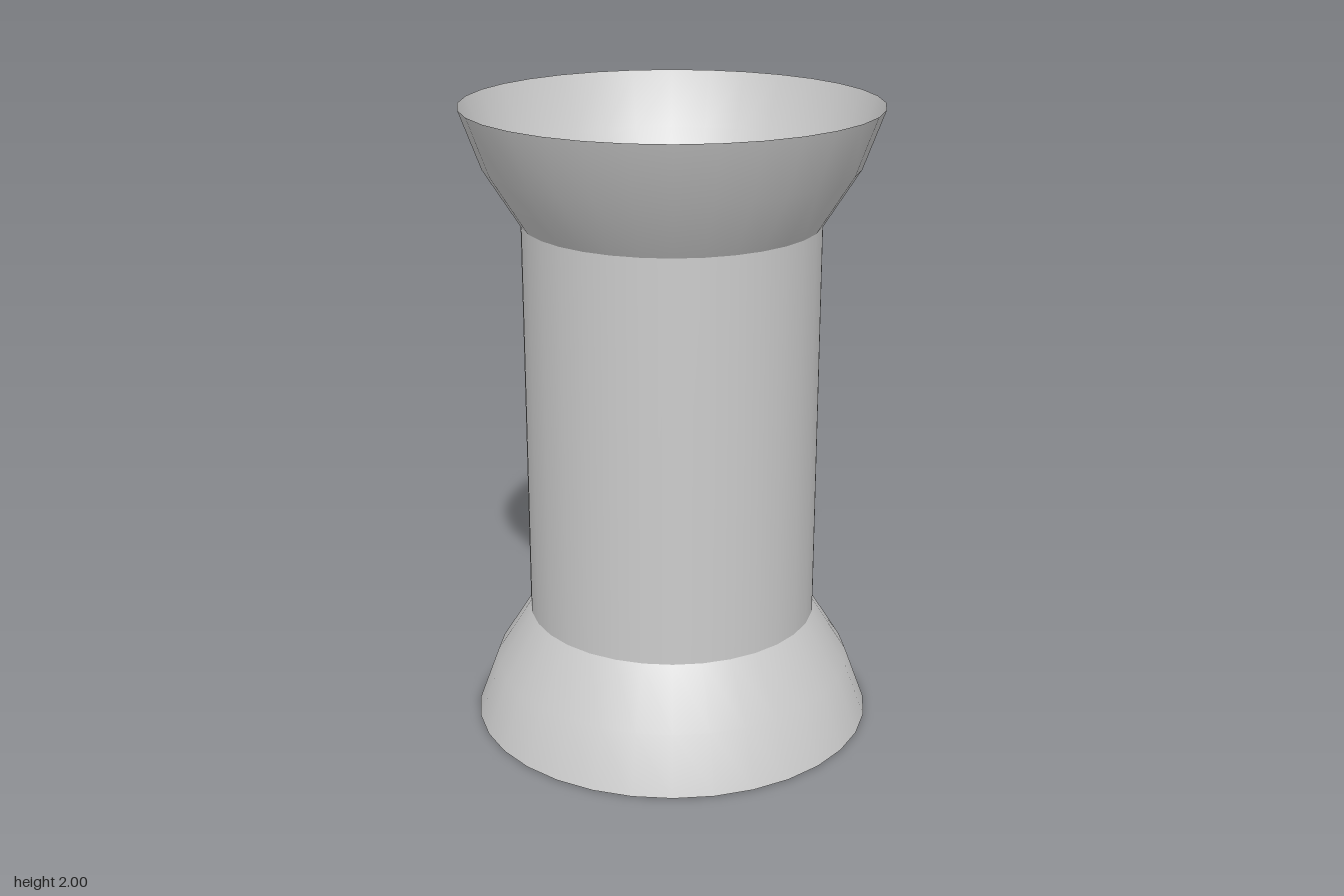
import * as THREE from 'three';

const SIDES = 32, HEIGHT = 2;
const RIM = 0.643, MID = 0.577, CORE = 0.464; // flare radii, rim to neck
const FLARE = 0.36; // flare height

export function createModel() {
  const spool = new THREE.Group();
  spool.name = 'spool';
  const solid = new THREE.MeshStandardMaterial({ color: 0xcccccc });
  const shell = new THREE.MeshStandardMaterial({ color: 0xcccccc, side: THREE.DoubleSide });

  // Straight core, closed at both ends
  const core = new THREE.Mesh(
    new THREE.CylinderGeometry(CORE, CORE, HEIGHT - 2 * FLARE, SIDES), solid);
  core.name = 'core';
  core.position.y = HEIGHT / 2;
  spool.add(core);

  // Thin hollow flare, curved in two steps and open at the rim
  const profile = [[RIM, 0], [MID, FLARE / 2], [CORE, FLARE]]
    .map(([r, y]) => new THREE.Vector2(r, y));
  const flareGeometry = new THREE.LatheGeometry(profile, SIDES);

  const lower = new THREE.Mesh(flareGeometry, shell);
  lower.name = 'lowerFlare';
  const upper = new THREE.Mesh(flareGeometry, shell);
  upper.name = 'upperFlare';
  upper.rotation.x = Math.PI;
  upper.position.y = HEIGHT;
  spool.add(lower, upper);

  return spool;
}
